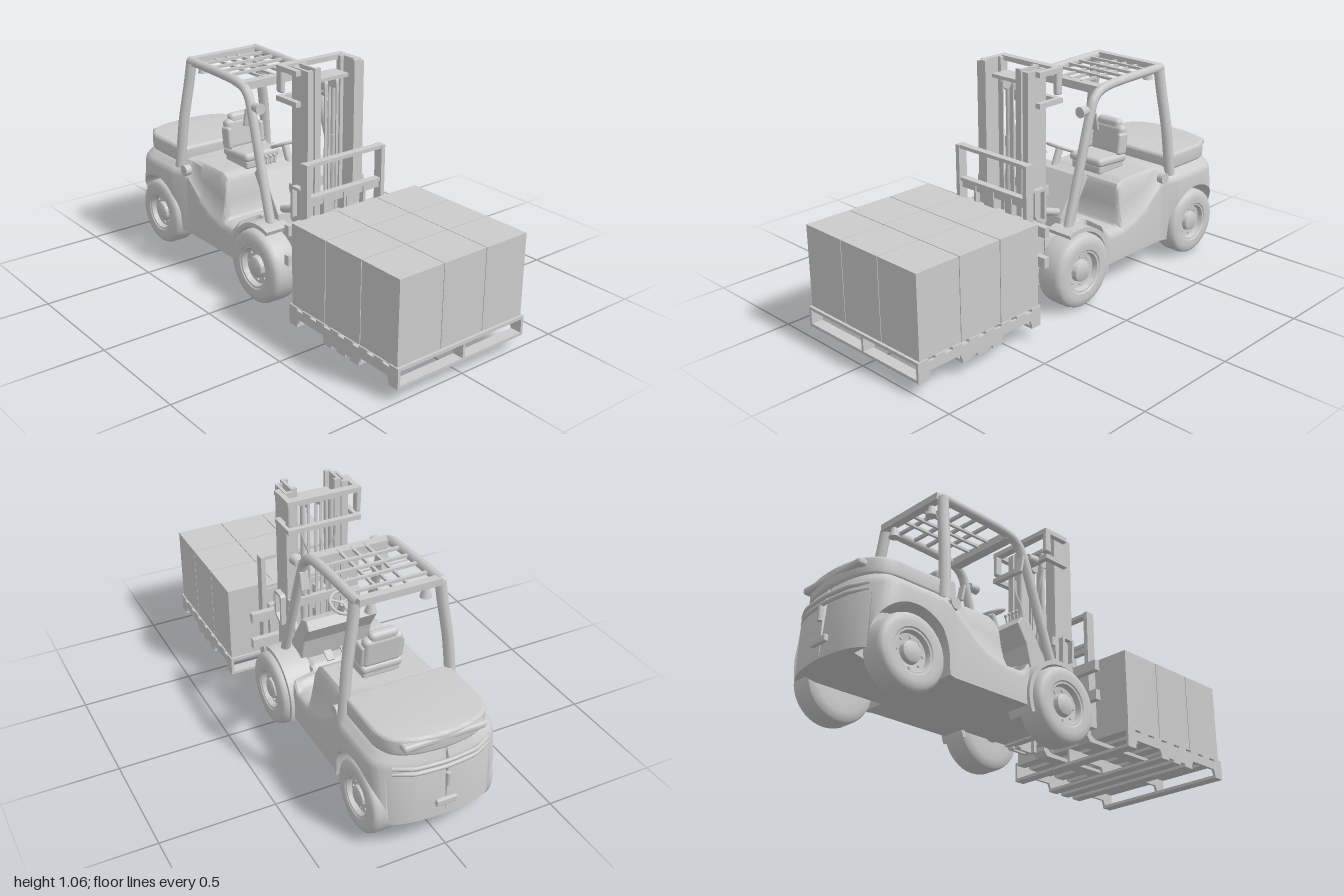
import * as THREE from 'three';
import { toCreasedNormals } from 'three/addons/utils/BufferGeometryUtils.js';
import { RoundedBoxGeometry } from 'three/addons/geometries/RoundedBoxGeometry.js';

const mat = new THREE.MeshStandardMaterial({ color: 0xcccccc });
const V = (x, y, z) => new THREE.Vector3(x, y, z);
const SIDES = [1, -1];

function add(g, name, geo, x = 0, y = 0, z = 0, rx = 0, ry = 0, rz = 0) {
  const m = new THREE.Mesh(geo, mat);
  m.name = name;
  m.position.set(x, y, z);
  m.rotation.set(rx, ry, rz);
  g.add(m);
  return m;
}
// box given by its two extreme corners
const span = (g, name, x0, x1, y0, y1, z0, z1) => add(g, name,
  new THREE.BoxGeometry(Math.abs(x1 - x0), y1 - y0, z1 - z0), (x0 + x1) / 2, (y0 + y1) / 2, (z0 + z1) / 2);
const tube = (g, name, pts, r, sides = 8, tension = 0.3) => add(g, name,
  new THREE.TubeGeometry(new THREE.CatmullRomCurve3(pts, false, 'catmullrom', tension), pts.length * 8, r, sides), 0, 0, 0);
function rod(g, name, a, b, r) {
  const m = add(g, name, new THREE.CylinderGeometry(r, r, a.distanceTo(b), 14));
  m.position.copy(a).lerp(b, 0.5);
  m.quaternion.setFromUnitVectors(V(0, 1, 0), b.clone().sub(a).normalize());
}
// outline drawn in (z, y), extruded from x0 to x1
function slab(shape, x0, x1, bevel = 0) {
  const geo = new THREE.ExtrudeGeometry(shape, { depth: x1 - x0 - 2 * bevel, curveSegments: 24,
    bevelEnabled: bevel > 0, bevelSize: bevel, bevelThickness: bevel, bevelSegments: 2 });
  return geo.rotateY(-Math.PI / 2).translate(x1 - bevel, 0, 0);
}
const poly = pts => new THREE.Shape(pts.map(p => new THREE.Vector2(...p)));
// piecewise linear lookup, keys falling
function lookup(table, z) {
  for (let i = 1; i < table.length; i++) {
    const [a, u] = table[i - 1], [b, v] = table[i];
    if (z >= b) return u + (v - u) * THREE.MathUtils.clamp((a - z) / (a - b), 0, 1);
  }
  return table[table.length - 1][1];
}
// skin over closed rings that run toward -z
function loft(rings) {
  const n = rings[0].length, pos = [], idx = [];
  rings.forEach(r => r.forEach(p => pos.push(...p)));
  for (let i = 0; i < rings.length - 1; i++) for (let j = 0; j < n; j++) {
    const a = i * n + j, b = i * n + (j + 1) % n;
    idx.push(a, a + n, b, b, a + n, b + n);
  }
  const last = (rings.length - 1) * n;
  for (let j = 1; j < n - 1; j++) idx.push(0, j, j + 1, last, last + j + 1, last + j);
  const geo = new THREE.BufferGeometry();
  geo.setAttribute('position', new THREE.Float32BufferAttribute(pos, 3));
  geo.setIndex(idx);
  return toCreasedNormals(geo, 0.6);
}

const FRONT = { z: 0.03, y: 0.165, r: 0.165 }, REAR = { z: -0.76, y: 0.155, r: 0.155 };

function bodyGeometry() {
  const centre = [[0.13, 0.33], [-0.1, 0.33], [-0.16, 0.27], [-0.26, 0.27], [-0.28, 0.45], [-0.32, 0.47], [-0.58, 0.47], [-0.62, 0.45], [-1, 0.45]];
  const side = [[0.13, 0.32], [-0.13, 0.32], [-0.18, 0.26], [-0.27, 0.26], [-0.36, 0.285], [-0.44, 0.325], [-0.51, 0.38], [-0.56, 0.42], [-1, 0.42]];
  const width = [[0.13, 0.15], [-0.13, 0.15], [-0.14, 0.25], [-0.54, 0.25], [-0.63, 0.28], [-1, 0.28]];
  const arch = (w, z) => w.y + Math.sqrt(Math.max(0, 0.185 ** 2 - (z - w.z) ** 2));
  const rings = [];
  for (let i = 0; i <= 130; i++) {
    const z = 0.13 - 1.13 * i / 130, k = Math.max(0, (-z - 0.8) / 0.2);
    const w = lookup(width, z) * Math.max(0.001, 1 - k ** 3) ** 0.45;
    const tc = lookup(centre, z), ts = lookup(side, z), bot = lookup([[0.13, 0.12], [-0.9, 0.12], [-1, 0.14]], z);
    let a = bot;
    for (const wheel of [FRONT, REAR]) if (Math.abs(z - wheel.z) < 0.185) a = Math.min(ts - 0.02, arch(wheel, z));
    const inner = Math.min(0.15, w);
    const half = [[0, bot], [inner, bot], [inner, a], [w, a], [w, Math.max(a, ts - 0.03)], [w * 0.985, ts - 0.01], [w * 0.95, ts],
      [w * 0.88, ts + (tc - ts) * 0.5], [w * 0.84, tc - (tc - ts) * 0.12], [w * 0.78, tc], [0, tc]];
    const loop = half.concat(half.slice(1, -1).reverse().map(([x, y]) => [-x, y]));
    rings.push(loop.map(([x, y]) => [x, y, z + k * (0.05 * Math.max(0, (y - 0.3) / 0.14) + 0.02 * Math.max(0, (0.25 - y) / 0.13))]));
  }
  return loft(rings);
}

function hoodGeometry() {
  const s = new THREE.Shape();
  s.moveTo(-0.225, 0.6);
  s.lineTo(0.225, 0.6);
  s.lineTo(0.225, 0.82);
  s.bezierCurveTo(0.215, 0.91, 0.15, 0.94, 0, 0.945);
  s.bezierCurveTo(-0.15, 0.94, -0.215, 0.91, -0.225, 0.82);
  const geo = new THREE.ExtrudeGeometry(s, { depth: 0.05, bevelSize: 0.015, bevelThickness: 0.015, bevelSegments: 4, curveSegments: 16 });
  // plan drawn with -z as its second axis
  return toCreasedNormals(geo.rotateX(-Math.PI / 2).translate(0, 0.455, 0), 0.6);
}

function wheel(g, name, w, x, width, s) {
  const h = width / 2, r = w.r;
  const profile = [[0, -h], [0.5 * r, -h], [0.75 * r, -h], [0.9 * r, -h * 0.93], [0.97 * r, -h * 0.8], [r, -h * 0.55], [r, h * 0.55], [0.97 * r, h * 0.8],
    [0.9 * r, h * 0.95], [0.75 * r, h], [0.6 * r, h * 0.97], [0.57 * r, h * 0.9], [0.52 * r, h * 0.9], [0.48 * r, h * 0.55], [0.3 * r, h * 0.5],
    [0.27 * r, h * 0.8], [0.24 * r, h * 0.85], [0, h * 0.85]];
  const geo = toCreasedNormals(new THREE.LatheGeometry(profile.map(p => new THREE.Vector2(...p)), 40), 0.6);
  add(g, name, geo, s * x, w.y, w.z, 0, 0, -s * Math.PI / 2);
  for (let i = 0; i < 8; i++) {
    const a = i * Math.PI / 4;
    rod(g, 'wheelNut', V(s * (x + h * 0.5), w.y + 0.39 * r * Math.sin(a), w.z + 0.39 * r * Math.cos(a)),
      V(s * (x + h * 0.62), w.y + 0.39 * r * Math.sin(a), w.z + 0.39 * r * Math.cos(a)), 0.006);
  }
}

export function createModel() {
  const root = new THREE.Group();
  root.name = 'forklift';
  const part = name => { const g = new THREE.Group(); g.name = name; root.add(g); return g; };

  // Chassis, hood and rear details
  const body = part('body');
  add(body, 'chassis', bodyGeometry());
  add(body, 'hood', hoodGeometry());
  add(body, 'hoodRear', new RoundedBoxGeometry(0.36, 0.03, 0.05, 3, 0.012), 0, 0.49, -0.935);
  for (const y of [0.37, 0.395]) {
    tube(body, 'grilleBar', [V(-0.21, y, -0.925), V(-0.13, y, -0.963), V(0, y, -0.975), V(0.13, y, -0.963), V(0.21, y, -0.925)], 0.009);
  }
  add(body, 'towSlot', new RoundedBoxGeometry(0.09, 0.03, 0.02, 2, 0.006), 0, 0.21, -0.985);
  add(body, 'towPin', new THREE.CylinderGeometry(0.01, 0.01, 0.06, 12), 0, 0.32, -0.99);
  for (const s of SIDES) {
    add(body, 'fillerCap', new THREE.CylinderGeometry(0.025, 0.025, 0.03, 20), s * 0.245, 0.425, -0.55, 0, 0, Math.PI / 2);
    const arc = new THREE.Shape();
    arc.absarc(FRONT.z, FRONT.y, 0.192, 1.2, 3.55, false);
    arc.absarc(FRONT.z, FRONT.y, 0.173, 3.55, 1.2, true);
    const x = s > 0 ? [0.14, 0.265] : [-0.265, -0.14];
    add(body, 'frontFender', toCreasedNormals(slab(arc, ...x), 0.6));
    wheel(body, 'frontWheel', FRONT, 0.225, 0.135, s);
    wheel(body, 'rearWheel', REAR, 0.215, 0.12, s);
  }
  rod(body, 'frontAxle', V(-0.18, 0.165, 0.03), V(0.18, 0.165, 0.03), 0.05);
  rod(body, 'rearAxle', V(-0.18, 0.155, -0.76), V(0.18, 0.155, -0.76), 0.035);

  // Dashboard, steering and seat
  const cab = part('cab');
  add(cab, 'dashboard', slab(poly([[0.05, 0.32], [0.04, 0.38], [-0.06, 0.54], [-0.1, 0.55], [-0.12, 0.52], [-0.07, 0.44], [-0.04, 0.32]]), -0.165, 0.165, 0.006));
  rod(cab, 'steeringColumn', V(0, 0.5, -0.07), V(0, 0.615, -0.122), 0.016);
  add(cab, 'steeringWheel', new THREE.TorusGeometry(0.058, 0.007, 8, 32), 0, 0.62, -0.125, Math.PI / 2 - 0.45);
  for (let i = 0; i < 3; i++) {
    const a = i * 2.094 + 0.52, c = 0.055 * Math.cos(a), d = 0.055 * Math.sin(a);
    rod(cab, 'wheelSpoke', V(0, 0.615, -0.122), V(c, 0.62 + d * 0.43, -0.125 + d * 0.9), 0.005);
  }
  for (let i = 0; i < 4; i++) {
    rod(cab, 'lever', V(-0.07 - i * 0.022, 0.53, -0.09), V(-0.07 - i * 0.022, 0.585, -0.105), 0.004);
    add(cab, 'leverKnob', new THREE.SphereGeometry(0.008, 10, 8), -0.07 - i * 0.022, 0.59, -0.106);
  }
  for (const x of [-0.08, -0.03, 0.05]) add(cab, 'pedal', new THREE.BoxGeometry(0.035, 0.008, 0.05), x, 0.345, -0.09, -0.5);
  add(cab, 'seatBase', new RoundedBoxGeometry(0.17, 0.04, 0.17, 3, 0.01), 0, 0.485, -0.38);
  add(cab, 'seatCushion', new RoundedBoxGeometry(0.19, 0.04, 0.19, 4, 0.018), 0, 0.515, -0.38, -0.06);
  add(cab, 'seatBack', new RoundedBoxGeometry(0.18, 0.14, 0.05, 4, 0.022), 0, 0.59, -0.455, -0.12);
  add(cab, 'headrest', new RoundedBoxGeometry(0.13, 0.05, 0.045, 4, 0.02), 0, 0.66, -0.463, -0.12);
  for (const s of SIDES) add(cab, 'seatBolster', new RoundedBoxGeometry(0.025, 0.1, 0.06, 3, 0.012), s * 0.088, 0.58, -0.44, -0.12);

  // Overhead guard
  const guard = part('overheadGuard');
  for (const s of SIDES) {
    tube(guard, 'frontPillar', [V(s * 0.2, 0.33, 0.045), V(s * 0.195, 0.5, -0.01), V(s * 0.185, 0.8, -0.105), V(s * 0.18, 0.88, -0.145),
      V(s * 0.178, 0.91, -0.21), V(s * 0.178, 0.92, -0.35), V(s * 0.18, 0.925, -0.59)], 0.021, 8, 0.5);
    tube(guard, 'rearPillar', [V(s * 0.185, 0.92, -0.57), V(s * 0.198, 0.82, -0.577), V(s * 0.225, 0.65, -0.588), V(s * 0.245, 0.43, -0.6)], 0.024);
    rod(guard, 'lampStalk', V(s * 0.185, 0.835, -0.11), V(s * 0.185, 0.835, -0.06), 0.007);
    add(guard, 'headlamp', new THREE.CylinderGeometry(0.024, 0.018, 0.045, 20), s * 0.185, 0.835, -0.065, Math.PI / 2);
    add(guard, 'mirror', new RoundedBoxGeometry(0.04, 0.085, 0.012, 2, 0.005), s * 0.185, 0.78, -0.135, 0.2);
    add(guard, 'rearLamp', new THREE.CylinderGeometry(0.012, 0.024, 0.045, 16), s * 0.12, 0.885, -0.575);
    span(guard, 'roofRail', s * 0.06 - 0.006, s * 0.06 + 0.006, 0.91, 0.922, -0.58, -0.19);
  }
  span(guard, 'roofRail', -0.006, 0.006, 0.91, 0.922, -0.58, -0.19);
  span(guard, 'rearHeader', -0.18, 0.18, 0.91, 0.94, -0.6, -0.565);
  span(guard, 'frontHeader', -0.18, 0.18, 0.885, 0.92, -0.21, -0.165);
  for (const z of [-0.29, -0.36, -0.43, -0.51]) span(guard, 'roofBar', -0.175, 0.175, 0.918, 0.93, z - 0.007, z + 0.007);

  // Mast with nested channels, lift cylinders and chains
  const mast = part('mast');
  for (const s of SIDES) {
    const channel = (name, a, b, z0, z1, top) => {
      span(mast, name, s * (b - 0.013), s * b, 0.1, top, z0, z1);
      for (const z of [z0, z1 - 0.016]) span(mast, name, s * a, s * (b - 0.013), 0.1, top, z, z + 0.016);
    };
    channel('outerRail', 0.115, 0.146, 0.12, 0.225, 1.05);
    channel('innerRail', 0.087, 0.117, 0.13, 0.235, 1.06);
    rod(mast, 'liftCylinder', V(s * 0.066, 0.12, 0.125), V(s * 0.066, 0.72, 0.125), 0.015);
    rod(mast, 'liftPiston', V(s * 0.066, 0.72, 0.125), V(s * 0.066, 0.99, 0.125), 0.011);
    add(mast, 'chainPulley', new THREE.CylinderGeometry(0.028, 0.028, 0.016, 20), s * 0.03, 0.97, 0.17, 0, 0, Math.PI / 2);
    for (const z of [0.145, 0.195]) span(mast, 'chain', s * 0.03 - 0.006, s * 0.03 + 0.006, 0.2, 0.97, z - 0.003, z + 0.003);
    tube(mast, 'hose', [V(s * 0.045, 0.25, 0.12), V(s * 0.045, 0.72, 0.11), V(s * 0.075, 0.82, 0.1), V(s * 0.09, 0.9, 0.11)], 0.005, 6);
    for (const y of [0.905, 1.035]) span(mast, 'bracketArm', s * 0.146, s * 0.17, y - 0.011, y + 0.011, 0.045, 0.18);
    add(mast, 'bracketEnd', new RoundedBoxGeometry(0.024, 0.11, 0.035, 2, 0.008), s * 0.158, 0.985, 0.062);
    rod(mast, 'tiltCylinder', V(s * 0.13, 0.43, 0.13), V(s * 0.13, 0.37, -0.05), 0.017);
    // side loop on the mast
    const loop = poly([[0.14, 0.4], [0.155, 0.39], [0.2, 0.42], [0.21, 0.44], [0.21, 0.54], [0.2, 0.55], [0.15, 0.55], [0.14, 0.54]]);
    loop.holes.push(poly([[0.153, 0.41], [0.153, 0.537], [0.197, 0.537], [0.197, 0.435]]));
    add(mast, 'sideLoop', slab(loop, s > 0 ? 0.146 : -0.17, s > 0 ? 0.17 : -0.146));
  }
  span(mast, 'topTie', -0.17, 0.17, 1.025, 1.046, 0.045, 0.08);
  span(mast, 'upperTie', -0.17, 0.17, 0.895, 0.916, 0.045, 0.07);
  span(mast, 'pistonTie', -0.085, 0.085, 0.985, 1.0, 0.11, 0.2);
  span(mast, 'middleTie', -0.146, 0.146, 0.5, 0.54, 0.1, 0.122);
  span(mast, 'lowerTie', -0.146, 0.146, 0.11, 0.17, 0.1, 0.135);

  // Carriage, load backrest and forks
  const carriage = part('carriage');
  for (const y of [0.25, 0.385]) span(carriage, 'carriageBar', -0.27, 0.27, y, y + 0.045, 0.23, 0.257);
  for (const y of [0.15, 0.53, 0.675]) span(carriage, 'backrestBar', -0.205, 0.205, y, y + 0.015, 0.262, 0.295);
  span(carriage, 'shiftCylinder', -0.2, 0.2, 0.5, 0.525, 0.262, 0.285);
  for (const s of SIDES) {
    span(carriage, 'backrestPost', s * 0.188, s * 0.208, 0.15, 0.69, 0.257, 0.3);
    span(carriage, 'backrestSlat', s * 0.1, s * 0.112, 0.15, 0.535, 0.265, 0.29);
    span(carriage, 'carriagePlate', s * 0.04, s * 0.085, 0.2, 0.5, 0.2, 0.257);
    const fork = poly([[0.29, 0.42], [0.29, 0.13], [0.31, 0.106], [0.93, 0.112], [0.93, 0.122], [0.34, 0.124], [0.315, 0.14], [0.315, 0.42]]);
    add(carriage, 'fork', slab(fork, s > 0 ? 0.095 : -0.16, s > 0 ? 0.16 : -0.095));
  }
  span(carriage, 'backrestSlat', -0.006, 0.006, 0.15, 0.535, 0.265, 0.29);

  // Pallet with notched stringers and cartons
  const load = part('load');
  const stringer = poly([[0.35, 0.065], [0.4, 0.065], [0.41, 0.09], [0.56, 0.09], [0.57, 0.065], [0.78, 0.065], [0.79, 0.09], [0.94, 0.09],
    [0.95, 0.065], [1, 0.065], [1, 0.128], [0.35, 0.128]]);
  for (const x of [-0.33, 0.005, 0.33]) add(load, 'stringer', slab(stringer, x - 0.006, x + 0.006));
  for (let i = 0; i < 8; i++) span(load, 'deckBoard', -0.336, 0.336, 0.126, 0.14, 0.35 + i * 0.0857, 0.4 + i * 0.0857);
  for (const z of [0.35, 0.57, 0.65, 0.73, 0.95]) span(load, 'bottomBoard', -0.336, 0.336, 0.053, 0.066, z, z + 0.05);
  for (let i = -1; i <= 1; i++) for (let j = 0; j < 3; j++) {
    add(load, 'carton', new THREE.BoxGeometry(0.218, 0.356, 0.207), i * 0.221, 0.318, 0.46 + j * 0.2105 + 0.0035);
  }
  return root;
}
